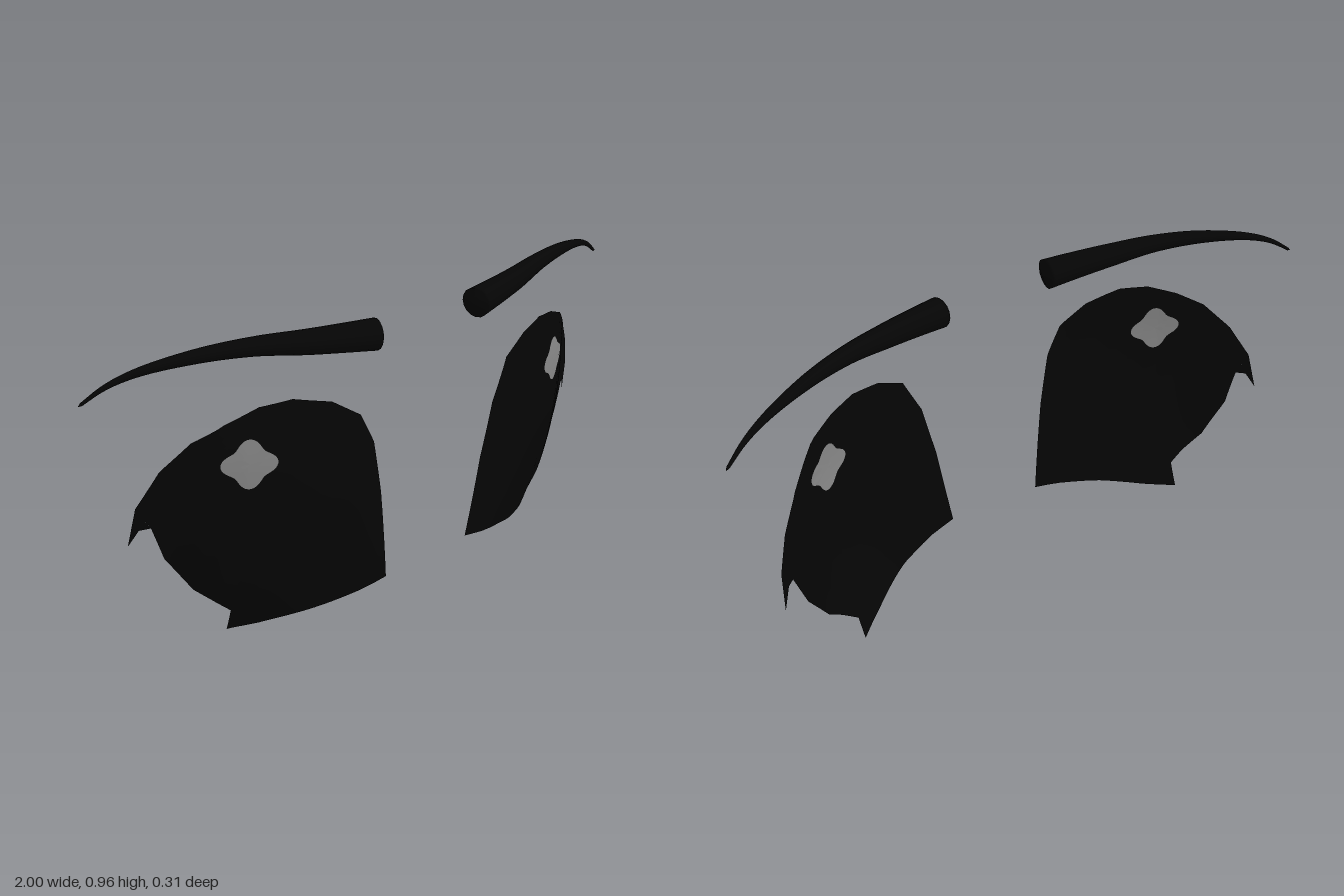
import * as THREE from 'three';

const black = new THREE.MeshStandardMaterial({ color: 0x050505, side: THREE.DoubleSide });
black.name = 'black';
const grey = new THREE.MeshStandardMaterial({ color: 0x8a8a8a, side: THREE.DoubleSide });
grey.name = 'highlight grey';

// Linear lookup in rows of [x, value].
function lookup(rows, x) {
  let i = 1;
  while (i < rows.length - 1 && x > rows[i][0]) i++;
  const [x0, v0] = rows[i - 1], [x1, v1] = rows[i];
  return v0 + (v1 - v0) * (x - x0) / (x1 - x0);
}

// Depth of the curved eye sheet: bends back towards the temple, and above and below.
const bend = [[0.16, 0.14], [0.25, 0.14], [0.3, 0.133], [0.36, 0.121], [0.43, 0.107], [0.47, 0.097],
  [0.52, 0.083], [0.56, 0.069], [0.62, 0.045], [0.68, 0.017], [0.73, -0.018], [0.8, -0.075],
  [0.86, -0.115], [0.9, -0.14]];
const roundness = [[0.16, 0.1], [0.39, 0.18], [0.53, 0.31], [0.62, 0.36], [0.73, 0.36], [0.9, 0.28]];
function depth(x, y) {
  return lookup(bend, x) - lookup(roundness, x) * (y - 0.57) ** 2;
}

// Eye outlines, clockwise from the inner lower corner; the lash is the outer flick.
const eyes = [
  {
    side: 1, name: 'left', centre: [0.63, 0.585], shift: 0,
    outline: [[0.163, 0.125], [0.206, 0.396], [0.249, 0.572], [0.318, 0.7], [0.414, 0.749],
      [0.516, 0.768], [0.607, 0.754], [0.698, 0.717], [0.789, 0.636], [0.853, 0.545], [0.89, 0.444],
      [0.848, 0.39], [0.805, 0.278], [0.73, 0.166], [0.62, 0.07], [0.614, 0.002], [0.527, 0.03], [0.377, 0.08]],
    lash: [[0.89, 0.444], [0.898, 0.328], [0.869, 0.385], [0.848, 0.39]],
  },
  {
    side: -1, name: 'right', centre: [0.596, 0.602], shift: 0.01,
    outline: [[0.166, 0.105], [0.2, 0.417], [0.227, 0.588], [0.27, 0.684], [0.356, 0.743],
      [0.468, 0.773], [0.559, 0.765], [0.65, 0.727], [0.73, 0.68], [0.805, 0.594], [0.864, 0.487],
      [0.83, 0.422], [0.8, 0.316], [0.73, 0.198], [0.628, 0.1], [0.628, 0.021], [0.548, 0.032], [0.398, 0.064]],
    lash: [[0.864, 0.487], [0.885, 0.367], [0.858, 0.417], [0.83, 0.422]],
  },
];

// Sheet from [x, y] points and clockwise triangles, laid on the curved surface.
function sheet(name, points, triangles, { side, shift }, material) {
  const g = new THREE.BufferGeometry();
  const pos = points.flatMap(([x, y]) => [side * x, y, depth(x + shift, y)]);
  g.setAttribute('position', new THREE.Float32BufferAttribute(pos, 3));
  g.setIndex(triangles.flatMap(([a, b, c]) => (side > 0 ? [a, c, b] : [a, b, c])));
  g.computeVertexNormals();
  const mesh = new THREE.Mesh(g, material);
  mesh.name = name;
  return mesh;
}

// Rings between two closed loops of equal length.
function rings(inner, outer, steps) {
  const n = inner.length, points = [], triangles = [];
  for (let r = 0; r <= steps; r++) {
    const t = r / steps;
    inner.forEach(([x, y], i) => points.push([x + (outer[i][0] - x) * t, y + (outer[i][1] - y) * t]));
  }
  for (let r = 0; r < steps; r++) {
    for (let i = 0; i < n; i++) {
      const a = r * n + i, b = r * n + (i + 1) % n;
      triangles.push([a, a + n, b + n], [a, b + n, b]);
    }
  }
  return [points, triangles];
}

function makeEye(spec) {
  const { name, centre, outline, lash } = spec;
  const eye = new THREE.Group();
  eye.name = name + 'Eye';
  // Subdivide the outline, then find the four-cornered highlight edge at the same angles
  const edge = outline.flatMap(([x, y], i) => {
    const [nx, ny] = outline[(i + 1) % outline.length];
    return [0, 0.2, 0.4, 0.6, 0.8].map((t) => [x + (nx - x) * t, y + (ny - y) * t]);
  });
  const [cx, cy] = centre;
  const lobes = edge.map(([x, y]) => {
    const a = Math.atan2(y - cy, x - cx), r = 0.065 + 0.01 * Math.cos(4 * (a - 0.06));
    return [cx + r * Math.cos(a), cy + r * Math.sin(a)];
  });
  eye.add(sheet('eyeSurface', ...rings(lobes, edge, 12), spec, black));
  eye.add(sheet('highlight', ...rings(lobes.map(() => centre), lobes, 3), spec, grey));
  eye.add(sheet('lash', lash, [[0, 1, 2], [0, 2, 3]], spec, black));
  return eye;
}

// Tapered brow: a tube whose radius shrinks from the inner end to the tip.
const browPath = [[0.183, 0.9, 0.114], [0.29, 0.909, 0.093], [0.4, 0.918, 0.068], [0.55, 0.931, 0.026],
  [0.7, 0.928, -0.022], [0.85, 0.906, -0.075], [0.93, 0.878, -0.104], [0.999, 0.834, -0.13]];
const browRadius = [[0.183, 0.047], [0.4, 0.036], [0.55, 0.027], [0.7, 0.02], [0.85, 0.012], [0.999, 0.004]];
function makeBrow(side) {
  const curve = new THREE.CatmullRomCurve3(browPath.map(([x, y, z]) => new THREE.Vector3(side * x, y, z)));
  const segments = 80, sides = 16;
  const g = new THREE.TubeGeometry(curve, segments, 1, sides);
  const pos = g.attributes.position, v = new THREE.Vector3();
  for (let s = 0; s <= segments; s++) {
    const c = curve.getPointAt(s / segments);
    const closed = s === 0 || s === segments;
    const r = closed ? 0 : lookup(browRadius, Math.abs(c.x));
    for (let j = 0; j <= sides; j++) {
      const i = s * (sides + 1) + j;
      v.fromBufferAttribute(pos, i).sub(c).multiplyScalar(r).add(c);
      pos.setXYZ(i, v.x, v.y, v.z);
    }
  }
  g.computeVertexNormals();
  const brow = new THREE.Mesh(g, black);
  brow.name = side > 0 ? 'leftBrow' : 'rightBrow';
  return brow;
}

export function createModel() {
  const model = new THREE.Group();
  model.name = 'eyesAndBrows';
  for (const eye of eyes) model.add(makeEye(eye), makeBrow(eye.side));
  return model;
}
